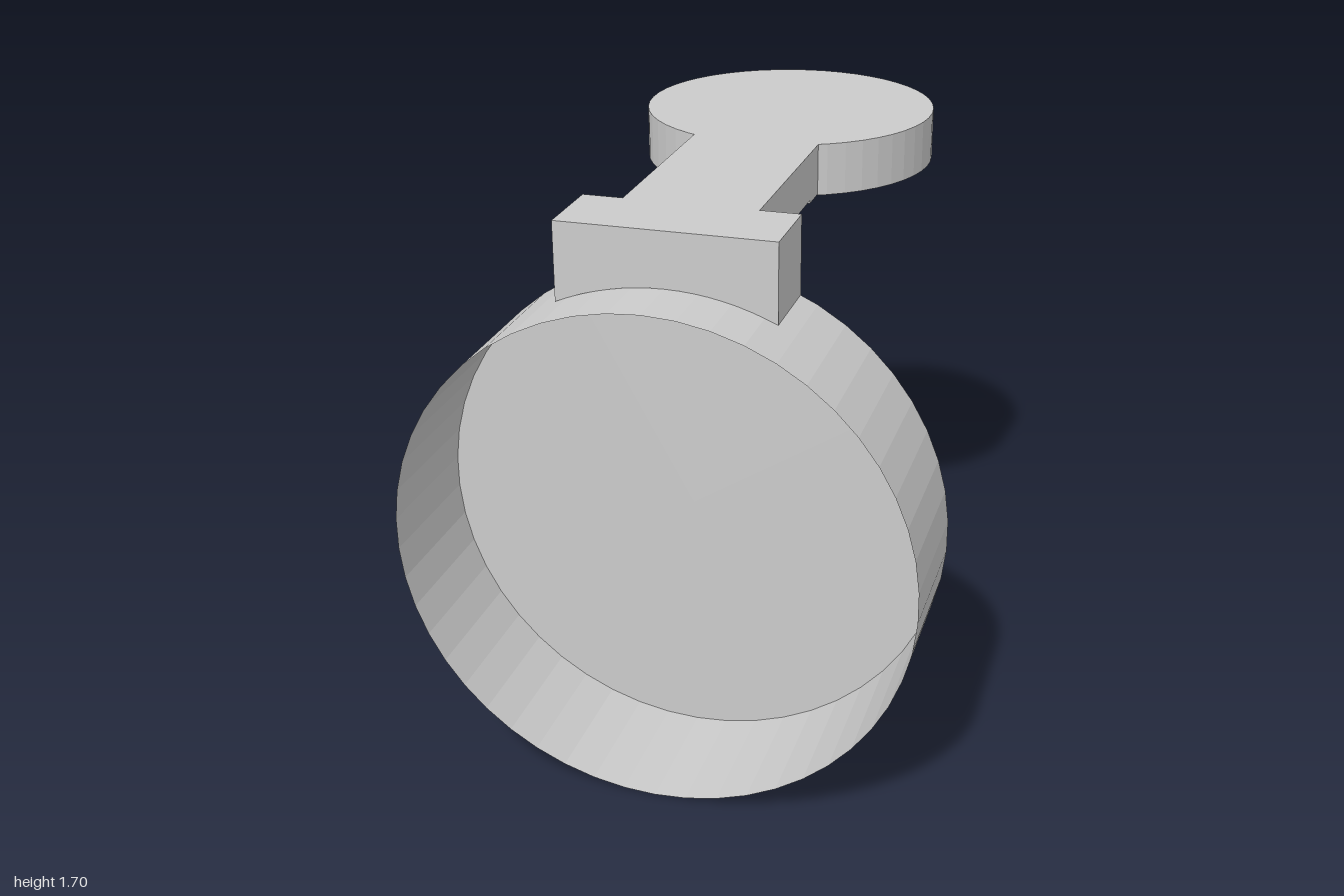
import * as THREE from 'three';

const R = 0.767; // cup radius, also its centre height
const SEG = 50;

export function createModel() {
  const model = new THREE.Group();
  const solid = new THREE.MeshStandardMaterial({ color: 0xcccccc, flatShading: true });
  const thin = solid.clone();
  thin.side = THREE.DoubleSide;

  const add = (name, geometry, material = solid) => {
    const mesh = new THREE.Mesh(geometry, material);
    mesh.name = name;
    model.add(mesh);
    return mesh;
  };
  const box = (name, x, y0, y1, z0, z1) =>
    add(name, new THREE.BoxGeometry(2 * x, y1 - y0, z1 - z0))
      .position.set(0, (y0 + y1) / 2, (z0 + z1) / 2);

  // Thin cup wall, open to the front, with a slightly slanted rim
  const wall = new THREE.CylinderGeometry(R, R, 0.44, SEG, 1, true);
  wall.rotateX(Math.PI / 2).translate(0, R, 0.78);
  const p = wall.attributes.position;
  for (let i = 0; i < p.count; i++) {
    if (p.getZ(i) > 0.78) p.setZ(i, 0.978 + 0.022 * p.getY(i) / (2 * R));
  }
  add('cupWall', wall, thin);

  // Cup back plate
  add('cupBack', new THREE.CircleGeometry(R, SEG, -Math.PI / 2), thin).position.set(0, R, 0.56);

  // Mounting block, its underside following the cup
  const a = Math.asin(0.32 / R);
  const s = new THREE.Shape();
  s.moveTo(0.32, 1.7);
  s.lineTo(-0.32, 1.7);
  s.absarc(0, R, R, Math.PI / 2 + a, Math.PI / 2 - a, true);
  s.closePath();
  add('mountBlock', new THREE.ExtrudeGeometry(s, { depth: 0.24, bevelEnabled: false, curveSegments: 8 }))
    .position.z = 0.56;

  // Arm, with a small step below where it meets the pad
  box('arm', 0.2, 1.55, 1.7, -0.105, 0.56);
  box('armStep', 0.2, 1.54, 1.55, -0.105, -0.01);

  // Round pad at the rear
  add('pad', new THREE.CylinderGeometry(0.47, 0.47, 0.163, SEG)).position.set(0, 1.6185, -0.53);

  return model;
}
